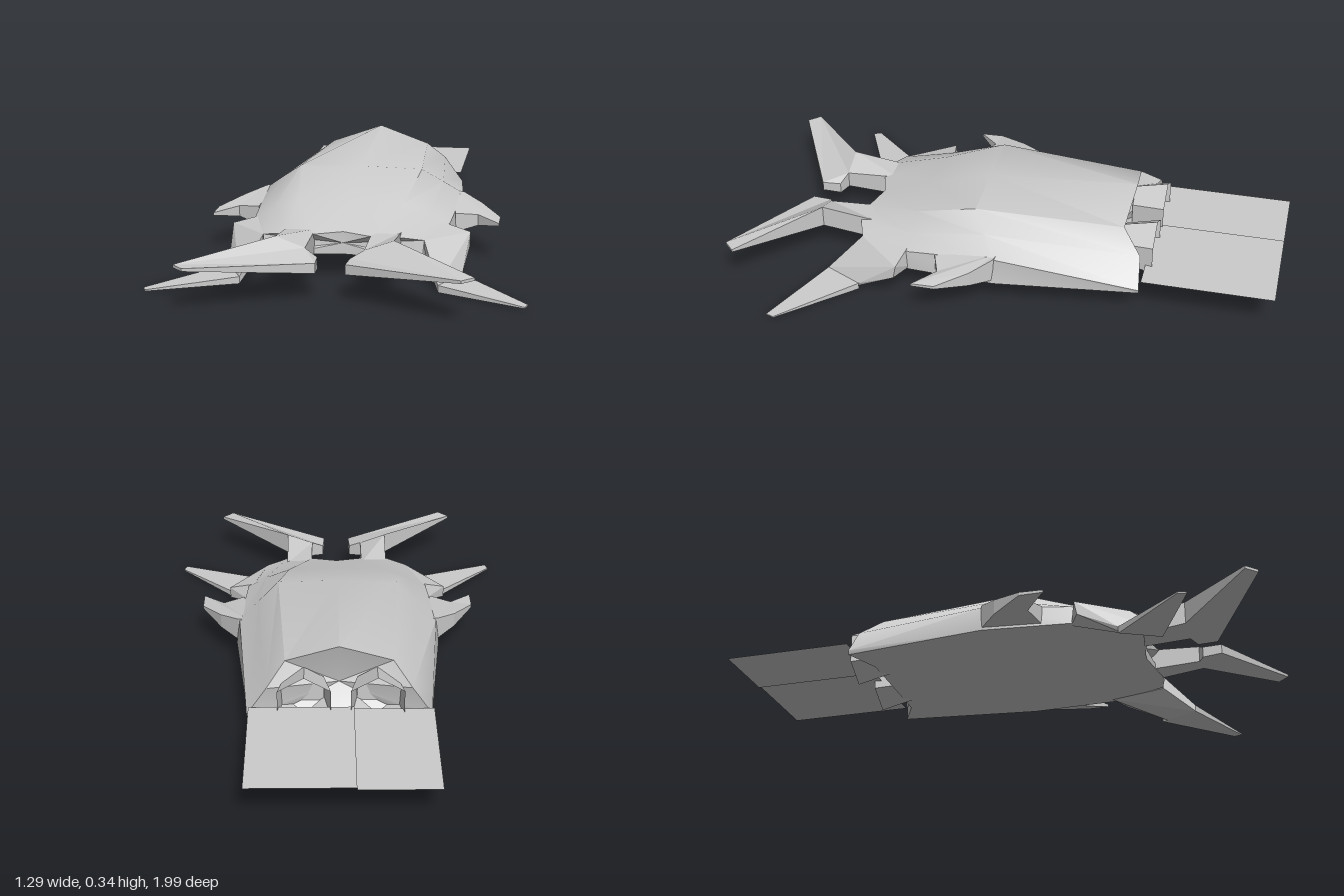
import * as THREE from 'three';
import { toCreasedNormals } from 'three/addons/utils/BufferGeometryUtils.js';
import { ConvexGeometry } from 'three/addons/geometries/ConvexGeometry.js';

const grey = new THREE.MeshStandardMaterial({ color: 0xcccccc });
const thin = new THREE.MeshStandardMaterial({ color: 0xcccccc, side: THREE.DoubleSide });

function trianglesGeometry(tris) {
  const geo = new THREE.BufferGeometry();
  geo.setAttribute('position', new THREE.Float32BufferAttribute(tris.flat(2), 3));
  geo.computeVertexNormals();
  return geo;
}

// Slab over an outline of [x, z, top y, bottom y]
function slab(outline, side) {
  let pts = outline.map(([x, z, t, b]) => [x * side, z, t, b]);
  if (THREE.ShapeUtils.isClockWise(pts.map(p => new THREE.Vector2(p[0], p[1])))) pts.reverse();
  const top = pts.map(([x, z, t]) => [x, t, z]);
  const bot = pts.map(([x, z, , b]) => [x, b, z]);
  const tris = [];
  const flat = pts.map(p => new THREE.Vector2(p[0], p[1]));
  for (const [a, b, c] of THREE.ShapeUtils.triangulateShape(flat, [])) {
    tris.push([bot[a], bot[b], bot[c]], [top[a], top[c], top[b]]);
  }
  pts.forEach((_, i) => {
    const j = (i + 1) % pts.length;
    tris.push([top[i], top[j], bot[i]], [top[j], bot[j], bot[i]]);
  });
  return trianglesGeometry(tris);
}

// Hull lofted through mirrored half sections, from stern to bow
function hullGeometry() {
  const halves = [
    [[0, .345, -.455], [.19, .28, -.44], [.255, .21, -.51], [.325, .11, -.52], [.32, .095, -.52], [.2, .09, -.46], [0, .09, -.46]],
    [[0, .305, .1], [.225, .3, .1], [.3, .245, .05], [.37, .19, 0], [.383, .095, 0], [.2, .09, 0], [0, .09, 0]],
    [[0, .235, .33], [.19, .23, .33], [.28, .195, .33], [.35, .16, .32], [.36, .09, .32], [.2, .09, .32], [0, .09, .32]],
    [[0, .17, .52], [.1, .165, .55], [.2, .165, .55], [.28, .15, .52], [.275, .09, .53], [.2, .09, .55], [0, .09, .52]],
  ];
  const rings = halves.map(h => [...h, ...h.slice(1, -1).reverse().map(([x, y, z]) => [-x, y, z])]);
  const n = rings[0].length;
  const tris = [];
  for (let s = 0; s < rings.length - 1; s++) {
    for (let i = 0; i < n; i++) {
      const j = (i + 1) % n;
      const [a, b, c, d] = [rings[s][i], rings[s][j], rings[s + 1][i], rings[s + 1][j]];
      tris.push([a, c, b], [b, c, d]);
    }
  }
  // Bow cap and recessed stern
  for (let i = 0; i < n; i++) {
    const j = (i + 1) % n;
    tris.push([[0, .13, .52], rings[3][j], rings[3][i]], [[0, .17, -.4], rings[0][i], rings[0][j]]);
  }
  return toCreasedNormals(trianglesGeometry(tris), 0.6);
}

const claw = [
  [.2, .5, .17, .09], [.2, .7, .197, .115], [.485, .95, .16, .15], [.445, .99, .16, .15],
  [.05, .79, .135, .1], [.055, .72, .135, .095], [.1, .7, .16, .1], [.1, .5, .17, .09],
];
const fin = [
  [.34, -.01, .2, .1], [.375, 0, .195, .105], [.445, .07, .175, .12], [.52, .18, .152, .14],
  [.52, .265, .15, .14], [.44, .19, .16, .12], [.36, .22, .17, .1],
];
const foot = [
  [.34, .64, .03, .005], [.41, .5, .03, .005], [.645, .745, .012, .007], [.635, .775, .012, .007],
];
const leg = [
  [.33, .165, .33], [.425, .14, .35], [.425, .09, .36], [.34, .09, .32], [.28, .15, .52], [.285, .09, .53],
  [.34, .03, .64], [.34, .005, .64], [.41, .03, .5], [.4, .005, .52],
];

export function createModel() {
  const model = new THREE.Group();
  const body = new THREE.Group();
  body.name = 'body';
  body.position.x = -.008;
  model.add(body);
  const add = (parent, geo, name, mat = grey) => {
    const mesh = new THREE.Mesh(geo, mat);
    mesh.name = name;
    parent.add(mesh);
    return mesh;
  };

  add(body, hullGeometry(), 'hull', thin);

  for (const [side, label] of [[1, 'left'], [-1, 'right']]) {
    add(body, slab(claw, side), label + 'Claw');
    add(body, slab(fin, side), label + 'Fin');
    add(body, slab(foot, side), label + 'Foot');
    const pts = leg.map(([x, y, z]) => new THREE.Vector3(x * side, y, z));
    add(body, new ConvexGeometry(pts), label + 'Leg');

    // Six-sided flared nozzle with a closed throat
    const nozzle = new THREE.Group();
    nozzle.name = label + 'Nozzle';
    nozzle.position.set(side * .128 - .005, .167, -.49);
    nozzle.rotation.x = -Math.PI / 2;
    const bell = new THREE.CylinderGeometry(.108, .08, .12, 6, 1, true).toNonIndexed();
    bell.computeVertexNormals();
    add(nozzle, bell, 'bell', thin);
    add(nozzle, new THREE.CircleGeometry(.08, 6, Math.PI / 2).rotateX(-Math.PI / 2), 'throat', thin)
      .position.y = -.05;
    body.add(nozzle);
  }

  // Flat exhaust sheets trailing behind the stern
  for (const [x0, x1, y, name] of [[-.34, -.06, .135, 'rightExhaust'], [-.06, .31, .143, 'leftExhaust']]) {
    const sheet = new THREE.PlaneGeometry(x1 - x0, .475).rotateX(-Math.PI / 2);
    add(model, sheet, name, thin).position.set((x0 + x1) / 2, y, -.7625);
  }
  return model;
}
